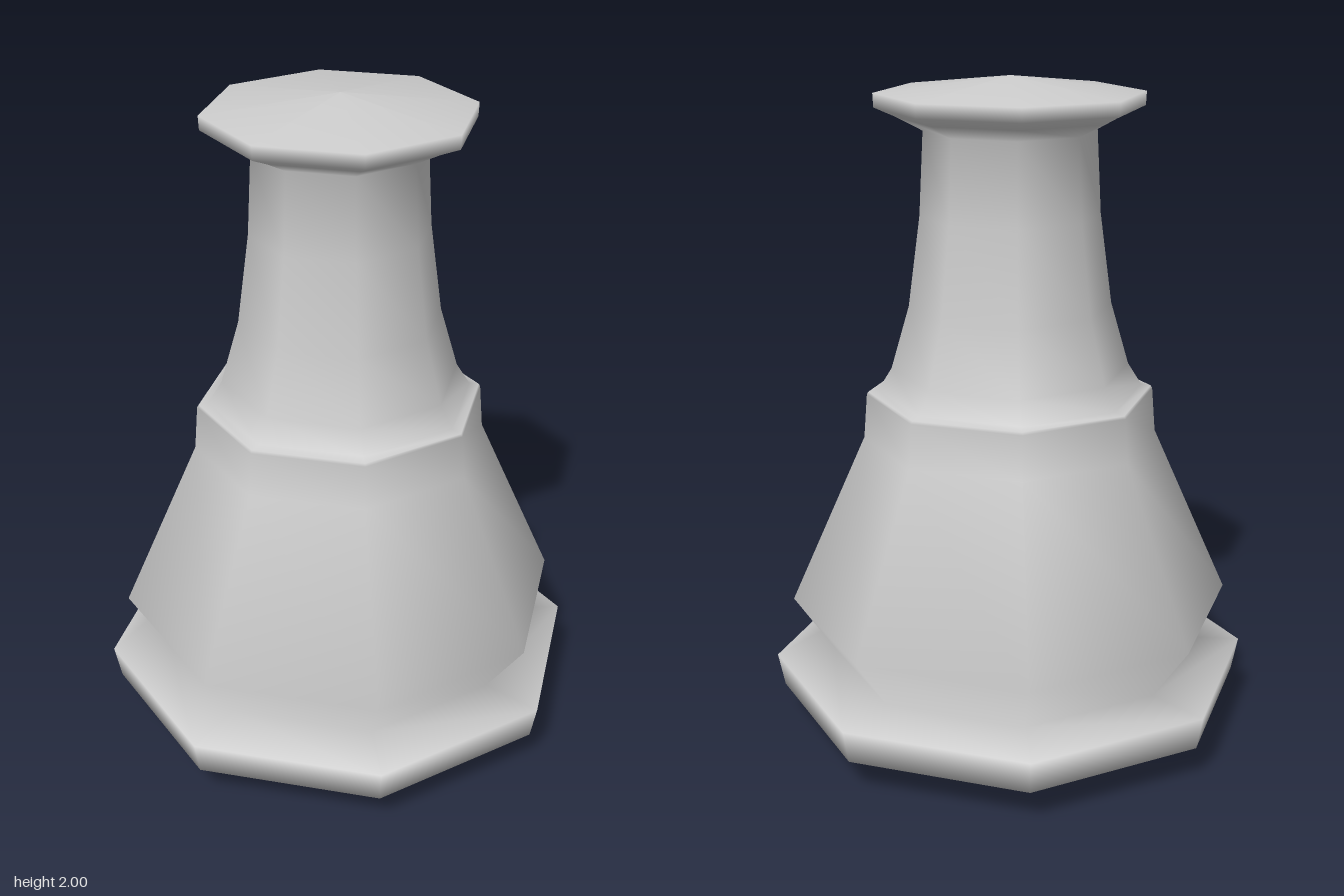
import * as THREE from 'three';

// Octagonal turned piece: one continuous, smooth-shaded lathe
export function createModel() {
  const group = new THREE.Group();
  group.name = 'turnedPiece';

  // Outline as [radius, height], from the bottom tip upward
  const base = [[0, 0], [0.715, 0.108], [0.735, 0.21], [0.555, 0.225]];
  const belly = [[0.677, 0.4], [0.444, 0.925]];
  const collar = [[0.433, 1.06], [0.428, 1.068], [0.398, 1.074]];
  const neck = [[0.357, 1.14], [0.302, 1.33], [0.266, 1.6], [0.253, 1.845]];
  const cap = [[0.33, 1.885], [0.392, 1.912], [0.394, 1.953], [0, 2]];

  const profile = [...base, ...belly, ...collar, ...neck, ...cap]
    .map(([r, y]) => new THREE.Vector2(r, y));

  const body = new THREE.Mesh(
    new THREE.LatheGeometry(profile, 8),
    new THREE.MeshStandardMaterial({ color: 0xcccccc })
  );
  body.name = 'turnedBody';
  group.add(body);
  return group;
}
